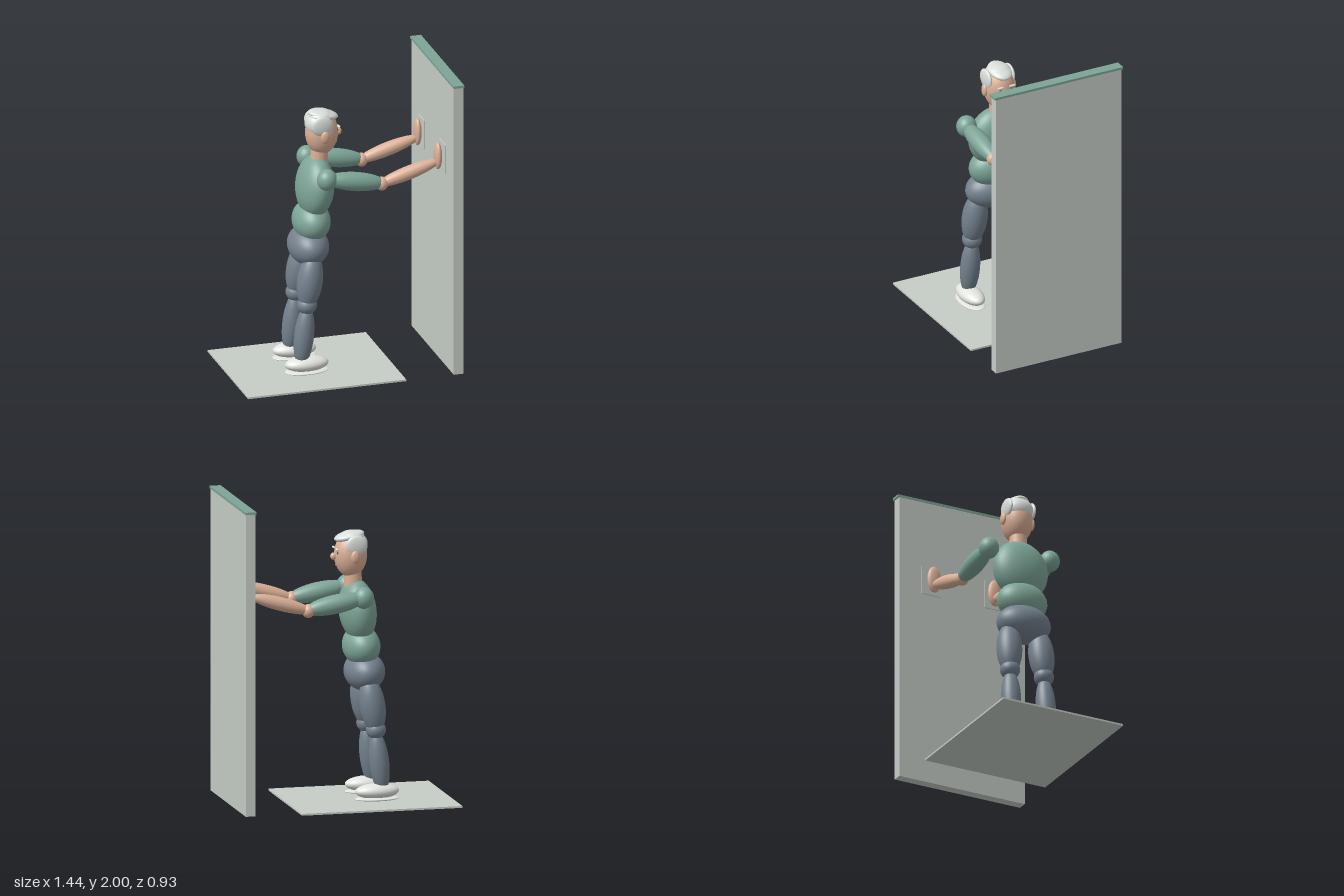
import * as THREE from 'three';

const paint = (name, color) => {
  const m = new THREE.MeshStandardMaterial({ color });
  m.name = name;
  return m;
};

export function createModel() {
  const model = new THREE.Group();
  model.name = 'wallPushFigure';
  const panel = paint('paleGrey', 0xc6cdc6);
  const green = paint('sageGreen', 0x7da597);
  const trousers = paint('slateBlue', 0x74818d);
  const skin = paint('skin', 0xdbb096);
  const hair = paint('silverHair', 0xd9deda);
  const shoe = paint('offWhite', 0xe2e4df);
  const dark = paint('darkGrey', 0x3b4245);
  const lip = paint('lip', 0xa8695c);

  const ball = new THREE.SphereGeometry(1, 40, 28);

  function add(name, geometry, material, position) {
    const mesh = new THREE.Mesh(geometry, material);
    mesh.name = name;
    mesh.position.set(...position);
    model.add(mesh);
    return mesh;
  }
  const box = (name, mat, size, pos) => add(name, new THREE.BoxGeometry(...size), mat, pos);
  function ellipsoid(name, mat, pos, radii, tilt = 0) {
    const mesh = add(name, ball, mat, pos);
    mesh.scale.set(...radii);
    mesh.rotation.z = tilt;
    return mesh;
  }
  // Ellipsoid stretched between two end points
  function limb(name, mat, from, to, radius) {
    const a = new THREE.Vector3(...from), b = new THREE.Vector3(...to);
    const dir = b.clone().sub(a);
    const mid = a.clone().add(b).multiplyScalar(0.5);
    const mesh = ellipsoid(name, mat, mid.toArray(), [radius, dir.length() / 2, radius]);
    mesh.quaternion.setFromUnitVectors(new THREE.Vector3(0, 1, 0), dir.normalize());
    return mesh;
  }

  // Floor mat and wall
  box('floorMat', panel, [1.06, 0.012, 0.87], [-0.19, 0.006, 0]);
  box('wall', panel, [0.064, 1.97, 0.91], [0.684, 1.0, 0]);
  box('wallCap', green, [0.072, 0.016, 0.932], [0.684, 1.992, 0]);

  // Body, leaning slightly toward the wall
  ellipsoid('chest', green, [-0.138, 1.237, 0], [0.117, 0.206, 0.19], -0.1);
  ellipsoid('waist', green, [-0.162, 1.005, 0], [0.12, 0.13, 0.172], -0.1);
  ellipsoid('pelvis', trousers, [-0.183, 0.838, 0], [0.13, 0.126, 0.185], -0.1);
  add('neck', new THREE.CylinderGeometry(0.055, 0.06, 0.12, 32), skin, [-0.108, 1.44, 0]).rotation.z = -0.04;

  // Head and hair
  ellipsoid('head', skin, [-0.092, 1.602, 0], [0.107, 0.147, 0.1]);
  ellipsoid('backHair', hair, [-0.13, 1.668, 0], [0.072, 0.078, 0.092]);
  ellipsoid('crownHair', hair, [-0.102, 1.72, 0], [0.08, 0.04, 0.08]);
  ellipsoid('frontHair', hair, [-0.083, 1.723, 0], [0.1, 0.032, 0.074], -0.2);
  ellipsoid('nose', skin, [0.02, 1.595, 0], [0.022, 0.024, 0.02]);
  ellipsoid('mouth', lip, [0.003, 1.535, 0], [0.005, 0.006, 0.03]);

  for (const s of [1, -1]) {
    const side = s > 0 ? 'left' : 'right';

    // Face details
    ellipsoid(side + 'SideHair', hair, [-0.112, 1.672, s * 0.084], [0.071, 0.066, 0.022]);
    ellipsoid(side + 'Ear', skin, [-0.098, 1.6, s * 0.103], [0.029, 0.042, 0.017]);
    ellipsoid(side + 'Eye', dark, [0.002, 1.622, s * 0.038], [0.006, 0.01, 0.01]);
    ellipsoid(side + 'Brow', hair, [0.009, 1.646, s * 0.043], [0.009, 0.007, 0.025]);

    // Arm reaching to the wall
    const z = s * 0.22;
    ellipsoid(side + 'Shoulder', green, [-0.123, 1.358, z], [0.066, 0.071, 0.066]);
    limb(side + 'UpperArm', green, [-0.14, 1.36, z], [0.27, 1.29, z], 0.062);
    ellipsoid(side + 'Elbow', skin, [0.243, 1.29, z], [0.042, 0.045, 0.045]);
    limb(side + 'Forearm', skin, [0.21, 1.282, z], [0.63, 1.404, z], 0.045);
    ellipsoid(side + 'Hand', skin, [0.619, 1.438, z], [0.025, 0.091, 0.048]);
    box(side + 'HandPad', panel, [0.007, 0.195, 0.132], [0.6485, 1.435, s * 0.228]);

    // Leg and shoe
    limb(side + 'Thigh', trousers, [-0.18, 0.82, s * 0.108], [-0.233, 0.45, s * 0.124], 0.083);
    ellipsoid(side + 'Knee', trousers, [-0.228, 0.475, s * 0.123], [0.065, 0.06, 0.065]);
    limb(side + 'Shin', trousers, [-0.226, 0.47, s * 0.122], [-0.272, 0.06, s * 0.13], 0.064);
    ellipsoid(side + 'Shoe', shoe, [-0.233, 0.077, s * 0.133], [0.144, 0.05, 0.073]);
    ellipsoid(side + 'Sole', shoe, [-0.233, 0.029, s * 0.133], [0.146, 0.014, 0.076]);
  }
  return model;
}
